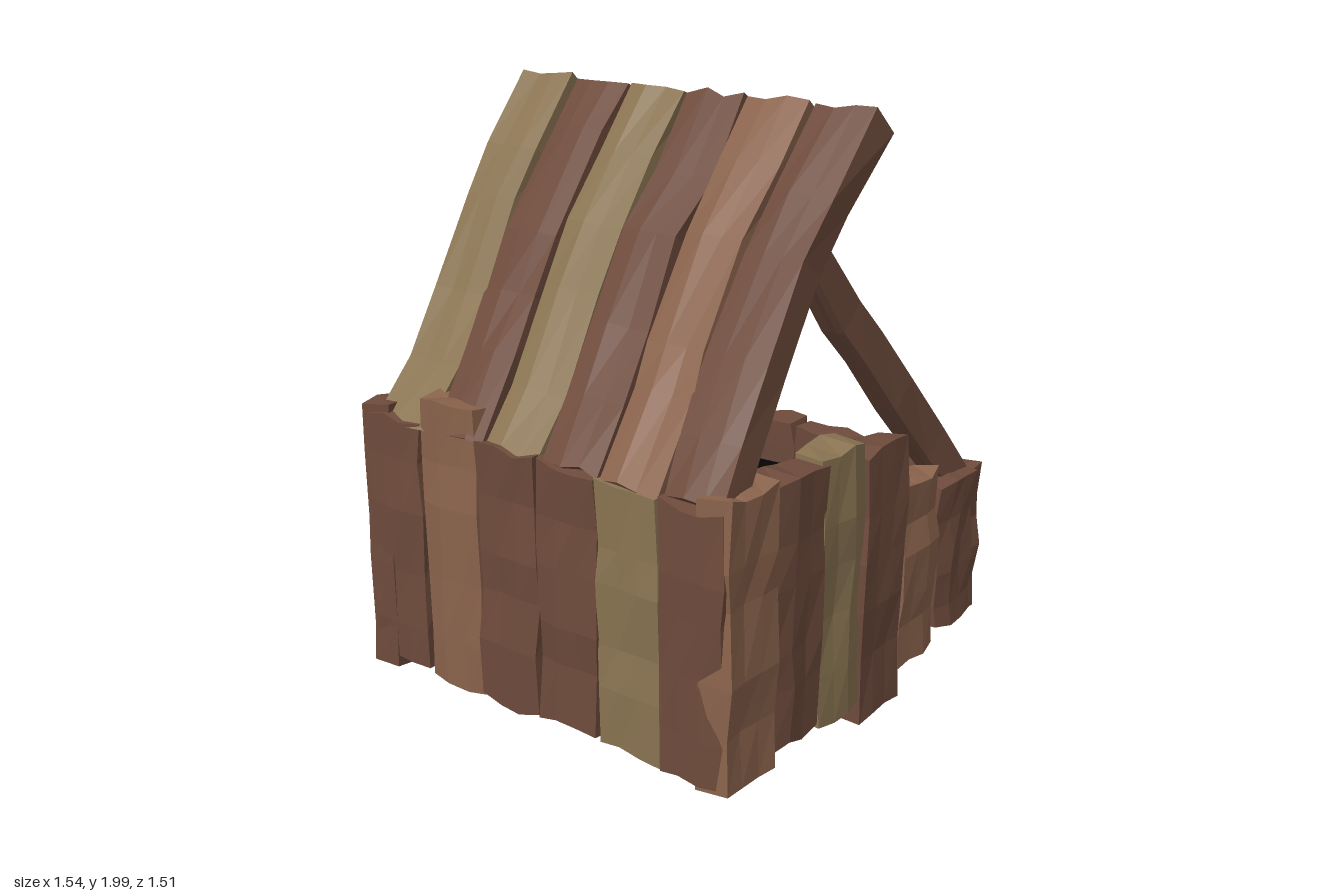
import * as THREE from 'three';

const BROWN = 0x6e4b3c, RED = 0x8a634c, TAN = 0x8a7452;
const mats = {};
const material = (c) => (mats[c] ??= new THREE.MeshStandardMaterial({ color: c, flatShading: true }));

// Repeatable value in -1..1
const noise = (n) => {
  const s = Math.sin(n * 127.1 + 11.7) * 43758.5453;
  return (s - Math.floor(s)) * 2 - 1;
};

let seed = 0;
const RINGS = 5, COLS = 3;

// A crooked plank running from a to b; its width lies along `across`.
// sway bends it sideways, sag makes an S-bend in its thickness, swell fattens its middle.
function plank(name, a, b, across, width, thick, color, { sway = 0, sag = 0, swell = 0, rough = 0.015 } = {}) {
  const id = ++seed * 60;
  const dir = new THREE.Vector3().subVectors(b, a);
  const len = dir.length();
  const geo = new THREE.BoxGeometry(width, len, thick, COLS, RINGS, 1).toNonIndexed();
  const p = geo.attributes.position;
  for (let i = 0; i < p.count; i++) {
    const x = p.getX(i), y = p.getY(i), z = p.getZ(i);
    const t = y / len + 0.5;
    const ring = Math.round(t * RINGS);
    const col = Math.round((x / width + 0.5) * COLS) + (z > 0 ? 4 : 0);
    const corner = id + ring * 8 + col;
    const middle = Math.sin(t * Math.PI);
    const inner = ring > 0 && ring < RINGS;
    const bulge = col % 4 > 0 && col % 4 < COLS ? rough * 0.5 * Math.sign(z) : 0;
    // Long ridges per column, bends per ring, a little of both per corner
    const ridge = noise(id + 50 + col) * rough * 0.6;
    const bend = inner ? noise(id + ring * 8 + 0.7) * 0.012 : 0;
    p.setXYZ(i,
      x + noise(id + ring * 8 + 0.5) * 0.01 + noise(corner) * 0.006 + sway * middle * middle,
      y + (inner ? noise(id + ring * 8 + 0.2) * 0.05 * len : noise(corner + 0.3) * 0.014),
      z * (1 + swell * middle) + bulge + ridge + bend + noise(corner + 0.6) * rough * 0.4
        + sag * Math.sin(t * Math.PI * 2));
  }
  geo.computeVertexNormals();
  const mesh = new THREE.Mesh(geo, material(color));
  mesh.name = name;
  const up = dir.normalize();
  const depth = new THREE.Vector3().crossVectors(across, up).normalize();
  const side = new THREE.Vector3().crossVectors(up, depth);
  mesh.quaternion.setFromRotationMatrix(new THREE.Matrix4().makeBasis(side, up, depth));
  mesh.position.addVectors(a, b).multiplyScalar(0.5);
  return mesh;
}

const V = (x, y, z) => new THREE.Vector3(x, y, z);
const X = V(1, 0, 0), Z = V(0, 0, 1);

export function createModel() {
  const root = new THREE.Group();
  root.name = 'plankShelter';
  const section = (name) => {
    const g = new THREE.Group();
    g.name = name;
    root.add(g);
    return g;
  };

  // Stepped front and back walls: [bottom, top, color] from -x to +x
  const stepped = {
    frontWall: [0.677, [[0.085, 1.005, RED], [0.125, 0.99, BROWN], [0.1, 0.995, TAN],
      [0.02, 0.935, BROWN], [0.11, 0.75, RED], [0.15, 0.67, BROWN]]],
    backWall: [-0.677, [[0.09, 1.0, BROWN], [0.12, 1.0, RED], [0.1, 0.96, BROWN],
      [0.09, 0.93, BROWN], [0.11, 0.755, TAN], [0.14, 0.67, BROWN]]],
  };
  for (const [name, [z, planks]] of Object.entries(stepped)) {
    const wall = section(name);
    planks.forEach(([y0, y1, color], i) => {
      const x = -0.635 + i * 0.238;
      wall.add(plank('wallPlank', V(x, y0, z), V(x, y1, z), X, 0.234, 0.11, color));
    });
  }

  // Side walls: tops and colors from +z to -z
  const low = 0.67, high = 0.97;
  const sides = [
    ['lowSideWall', 0.7, 0.14, [[low, BROWN], [low, TAN], [low, BROWN], [low, BROWN], [low, RED], [low, TAN]]],
    ['highSideWall', -0.695, 0.11, [[high, BROWN], [high, TAN], [high, BROWN], [high, BROWN], [1.07, RED], [high, BROWN]]],
  ];
  for (const [name, x, y0, planks] of sides) {
    const wall = section(name);
    planks.forEach(([y1, color], i) => {
      const z = 0.598 - i * 0.238;
      const d = noise(i + x) * 0.012;
      wall.add(plank('wallPlank', V(x, y0 + d, z), V(x, y1 + d, z), Z, 0.23, 0.105, color,
        { rough: 0.011 }));
    });
  }

  // Propped-up lid, planks from +z to -z, every other one thinner
  const lid = section('lid');
  [BROWN, RED, BROWN, TAN, BROWN, TAN].forEach((color, i) => {
    const z = 0.593 - i * 0.23;
    const thin = i % 2;
    const s = thin * 0.016;
    lid.add(plank('lidPlank', V(-0.69 - s, 0.94, z), V(0.043 - s, 1.95 + s * 0.7, z),
      Z, 0.215, thin ? 0.08 : 0.11, color,
      { sway: i < 5 ? -0.035 : -0.01, sag: thin ? -0.018 : -0.01, rough: 0.011 }));
  });

  // Props holding the lid, thicker at mid-length
  const props = section('props');
  const propShape = { swell: 0.3, rough: 0.008 };
  props.add(plank('frontProp', V(0.64, 0.64, 0.65), V(-0.17, 1.57, 0.585), Z, 0.075, 0.105, BROWN, propShape));
  props.add(plank('backProp', V(0.64, 0.64, -0.65), V(-0.17, 1.55, -0.585), Z, 0.07, 0.105, RED, propShape));

  // Dark sheet inside the box
  const inside = new THREE.Mesh(
    new THREE.PlaneGeometry(1.38, 1.34).rotateX(-Math.PI / 2),
    new THREE.MeshStandardMaterial({ color: 0x050505, side: THREE.DoubleSide }));
  inside.name = 'darkInterior';
  inside.position.set(0, 0.52, 0);
  root.add(inside);

  return root;
}
